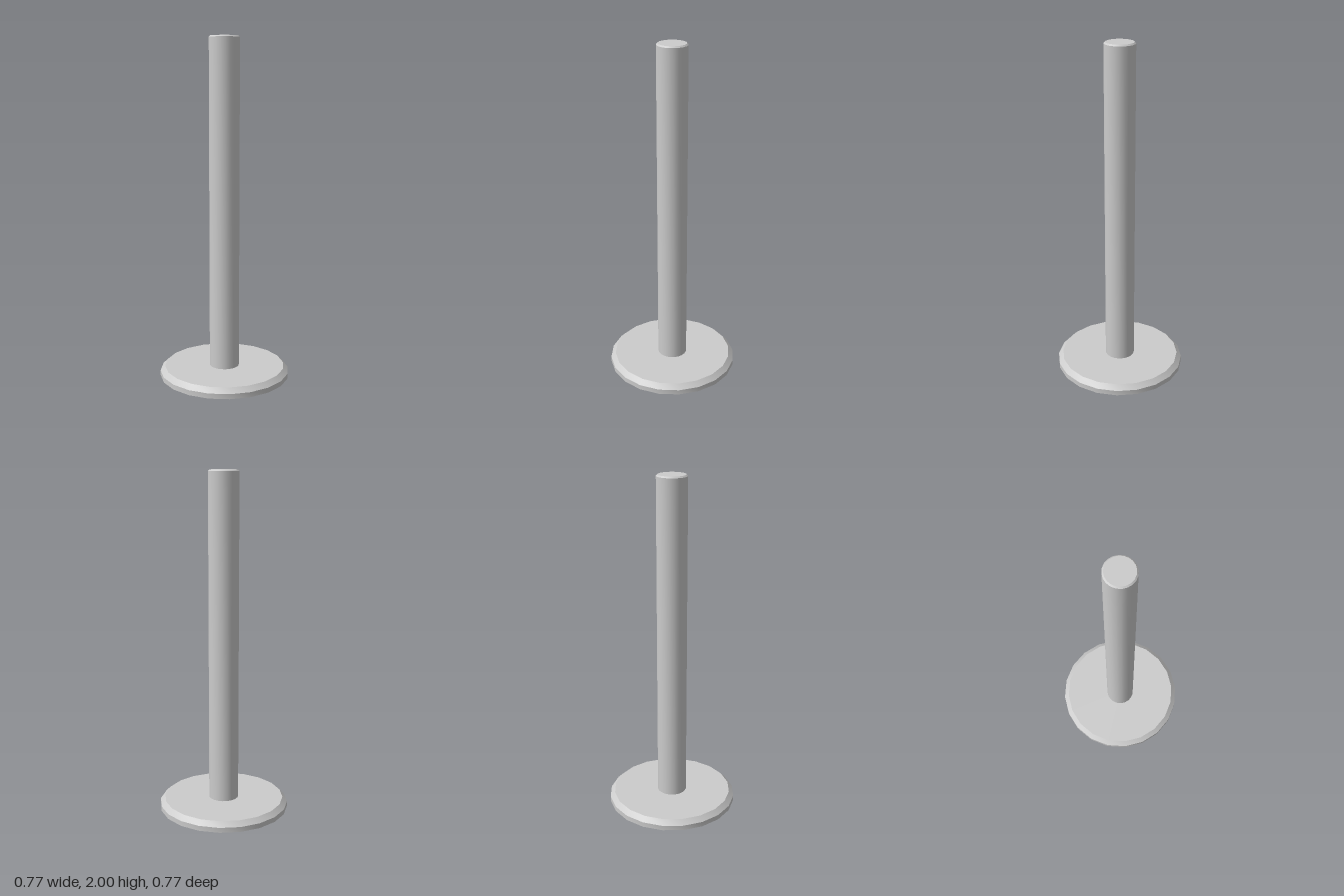
import * as THREE from 'three';
import { toCreasedNormals } from 'three/addons/utils/BufferGeometryUtils.js';

const SIDES = 20;
const material = new THREE.MeshStandardMaterial({ color: 0xcccccc });

// Turned solid from [radius, height] points, smooth around and sharp at the rims
function turned(name, profile) {
  const points = profile.map(([r, y]) => new THREE.Vector2(r, y));
  const geometry = toCreasedNormals(new THREE.LatheGeometry(points, SIDES), 0.5);
  const mesh = new THREE.Mesh(geometry, material);
  mesh.name = name;
  return mesh;
}

export function createModel() {
  const group = new THREE.Group();
  group.name = 'post';

  // Round foot with a bevelled upper rim
  group.add(turned('base', [[0, 0], [0.385, 0], [0.385, 0.03], [0.357, 0.058], [0, 0.058]]));

  // Tall pole with a small bevel at its top
  group.add(turned('pole', [[0, 0.05], [0.088, 0.05], [0.088, 1.992], [0.08, 2], [0, 2]]));

  return group;
}
